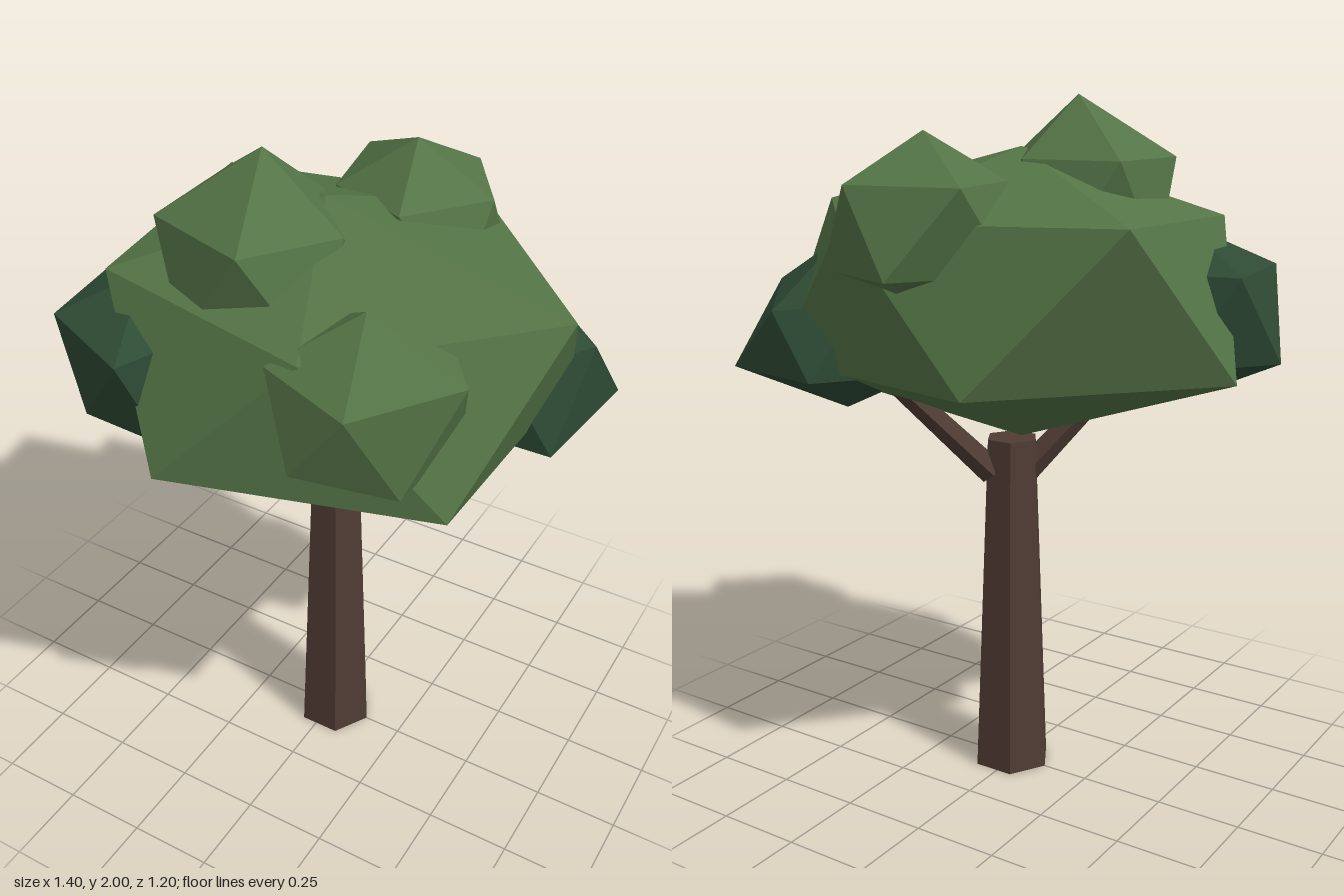
import * as THREE from 'three';

const material = (name, color) => {
  const m = new THREE.MeshStandardMaterial({ color, flatShading: true });
  m.name = name;
  return m;
};

// Irregular twenty-sided clump: a top point, two staggered rings of five, a bottom point.
// Ring points are [x, z] at the ring's height, or [x, z, y] where one sits off it.
function clump(name, mat, top, upperY, upper, lowerY, lower, bottom) {
  const ring = (list, y) => list.map((p) => [p[0], p[2] ?? y, p[1]]);
  const u = ring(upper, upperY);
  const l = ring(lower, lowerY);
  const corners = [];
  for (let i = 0; i < 5; i++) {
    const j = (i + 1) % 5;
    corners.push(top, u[j], u[i]);
    corners.push(u[i], u[j], l[i]);
    corners.push(l[i], u[j], l[j]);
    corners.push(l[i], l[j], bottom);
  }
  const geo = new THREE.BufferGeometry();
  geo.setAttribute('position', new THREE.Float32BufferAttribute(corners.flat(), 3));
  geo.computeVertexNormals();
  const mesh = new THREE.Mesh(geo, mat);
  mesh.name = name;
  return mesh;
}

// Tapered limb between two points
function limb(name, mat, from, to, r0, r1, sides) {
  const a = new THREE.Vector3(...from);
  const dir = new THREE.Vector3(...to).sub(a);
  const length = dir.length();
  const geo = new THREE.CylinderGeometry(r1, r0, length, sides);
  geo.translate(0, length / 2, 0);
  const mesh = new THREE.Mesh(geo, mat);
  mesh.quaternion.setFromUnitVectors(new THREE.Vector3(0, 1, 0), dir.normalize());
  mesh.position.copy(a);
  mesh.name = name;
  return mesh;
}

export function createModel() {
  const bark = material('bark brown', 0x503c34);
  const leaf = material('leaf green', 0x547446);
  const shade = material('deep green', 0x2e4b35);
  const tree = new THREE.Group();
  tree.name = 'tree';

  // Six-sided trunk with corners on the x axis
  const trunkGeo = new THREE.CylinderGeometry(0.078, 0.12, 1.03, 6);
  trunkGeo.rotateY(Math.PI / 6);
  const trunk = new THREE.Mesh(trunkGeo, bark);
  trunk.position.set(0.013, 0.515, 0);
  trunk.name = 'trunk';
  tree.add(trunk);

  // Two branches reaching into the crown
  tree.add(limb('rightBranch', bark, [-0.02, 0.93, 0.02], [-0.33, 1.34, 0.23], 0.042, 0.028, 5));
  tree.add(limb('leftBranch', bark, [0.05, 0.93, -0.045], [0.37, 1.34, -0.31], 0.042, 0.028, 5));

  // Main crown
  tree.add(clump('mainCrown', leaf, [0, 1.86, 0.03],
    1.69, [[0.697, 0.026], [0.18, 0.47, 1.645], [-0.476, 0.348, 1.67], [-0.547, -0.34], [0.2, -0.52, 1.68]],
    1.26, [[0.55, 0.38], [-0.185, 0.595], [-0.677, 0.026], [-0.184, -0.533], [0.56, -0.38]],
    [0, 1.03, 0.03]));

  // Light clumps: top, back and front
  tree.add(clump('topClump', leaf, [-0.123, 2, 0.13],
    1.83, [[0.109, 0.127, 1.81], [-0.034, 0.393], [-0.348, 0.292], [-0.356, -0.045], [-0.06, -0.06]],
    1.56, [[0.1, 0.29], [-0.21, 0.39], [-0.38, 0.13], [-0.21, -0.13], [0.1, -0.03]],
    [-0.12, 1.4, 0.13]));
  tree.add(clump('backClump', leaf, [0.083, 1.91, -0.312],
    1.78, [[0.311, -0.318], [0.17, -0.045, 1.81], [-0.1, -0.19], [-0.165, -0.494], [0.16, -0.55]],
    1.55, [[0.3, -0.15], [0, -0.05], [-0.19, -0.31], [-0.005, -0.6], [0.3, -0.47]],
    [0.083, 1.42, -0.31]));
  tree.add(clump('frontClump', leaf, [0.29, 1.757, 0.333],
    1.62, [[0.56, 0.333, 1.63], [0.36, 0.563, 1.6], [0.09, 0.475], [0.09, 0.19], [0.37, 0.09, 1.65]],
    1.39, [[0.46, 0.46, 1.35], [0.21, 0.568, 1.4], [0.03, 0.333], [0.21, 0.09], [0.49, 0.19]],
    [0.29, 1.27, 0.333]));

  // Dark clumps on the two flanks
  tree.add(clump('rightDarkClump', shade, [-0.42, 1.64, 0.27],
    1.535, [[-0.2, 0.27], [-0.298, 0.562], [-0.607, 0.423], [-0.655, 0.075], [-0.35, 0.02]],
    1.28, [[-0.25, 0.45, 1.25], [-0.474, 0.49, 1.3], [-0.7, 0.266], [-0.51, 0.01], [-0.22, 0.1]],
    [-0.45, 1.165, 0.28]));
  tree.add(clump('leftDarkClump', shade, [0.43, 1.61, -0.247],
    1.45, [[0.663, -0.247, 1.475], [0.5, -0.03], [0.25, -0.1], [0.25, -0.39], [0.498, -0.468, 1.42]],
    1.24, [[0.62, -0.115, 1.18], [0.34, -0.03], [0.16, -0.245], [0.34, -0.505], [0.684, -0.436]],
    [0.426, 1.115, -0.245]));

  return tree;
}
